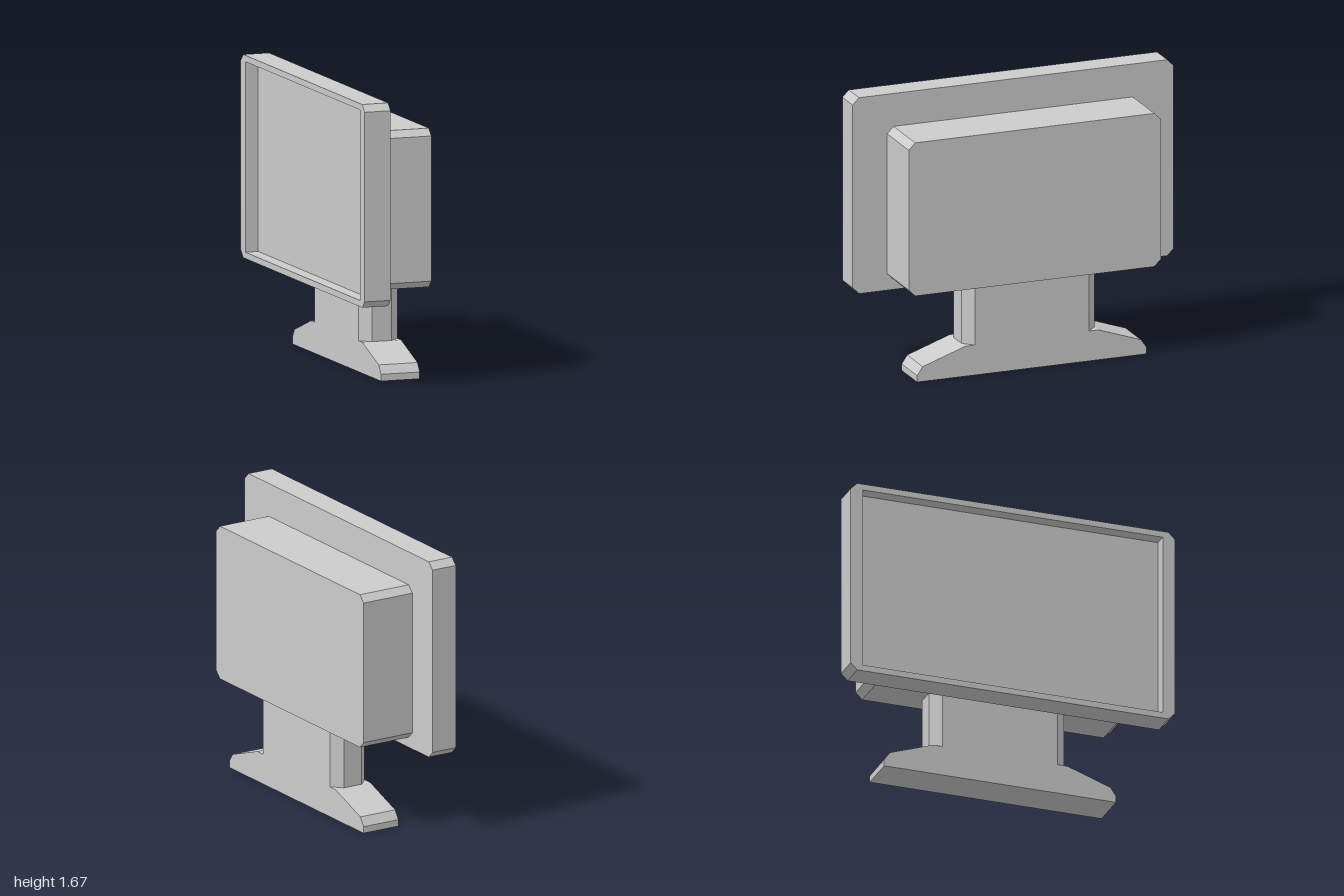
import * as THREE from 'three';

const material = new THREE.MeshStandardMaterial({ color: 0xcccccc, flatShading: true });

// Rectangle with cut corners, z across and y up
function cutRect(halfW, y0, y1, cut) {
  return new THREE.Shape([
    [halfW - cut, y0], [halfW, y0 + cut], [halfW, y1 - cut], [halfW - cut, y1],
    [-halfW + cut, y1], [-halfW, y1 - cut], [-halfW, y0 + cut], [-halfW + cut, y0],
  ].map(([a, b]) => new THREE.Vector2(a, b)));
}

// Extrude a side profile along x from x0 to x1
function extrudeX(name, shape, x0, x1) {
  const geometry = new THREE.ExtrudeGeometry(shape, { depth: x1 - x0, bevelEnabled: false });
  geometry.rotateY(Math.PI / 2);
  geometry.translate(x0, 0, 0);
  const mesh = new THREE.Mesh(geometry, material);
  mesh.name = name;
  return mesh;
}

export function createModel() {
  const group = new THREE.Group();
  group.name = 'monitor';

  // Raised bezel around the recessed screen, facing -x
  const bezel = cutRect(1, 0.48, 1.67, 0.04);
  bezel.holes.push(cutRect(0.925, 0.517, 1.633, 0).reverseHole ?? new THREE.Path([
    new THREE.Vector2(-0.925, 0.517), new THREE.Vector2(-0.925, 1.633),
    new THREE.Vector2(0.925, 1.633), new THREE.Vector2(0.925, 0.517),
  ]));
  group.add(extrudeX('screenBezel', bezel, -0.25, -0.17));
  group.add(extrudeX('screenPanel', cutRect(1, 0.48, 1.67, 0.04), -0.17, -0.09));

  // Deep housing behind the screen
  group.add(extrudeX('rearHousing', cutRect(0.785, 0.54, 1.47, 0.04), -0.09, 0.245));

  // Foot with sloping shoulders
  const half = [[0.715, 0], [0.715, 0.04], [0.68, 0.09], [0.415, 0.182]];
  const outline = [...half, ...half.slice().reverse().map(([z, y]) => [-z, y])];
  const foot = new THREE.Shape(outline.map(([z, y]) => new THREE.Vector2(z, y)));
  group.add(extrudeX('foot', foot, -0.04, 0.2));

  // Neck: a post with chamfered vertical edges, extruded upward
  const neckGeometry = new THREE.ExtrudeGeometry(cutRect(0.12, -0.415, 0.415, 0.06), {
    depth: 0.36, bevelEnabled: false,
  });
  neckGeometry.rotateX(-Math.PI / 2);
  neckGeometry.translate(0.08, 0.182, 0);
  const neck = new THREE.Mesh(neckGeometry, material);
  neck.name = 'neck';
  group.add(neck);

  return group;
}
